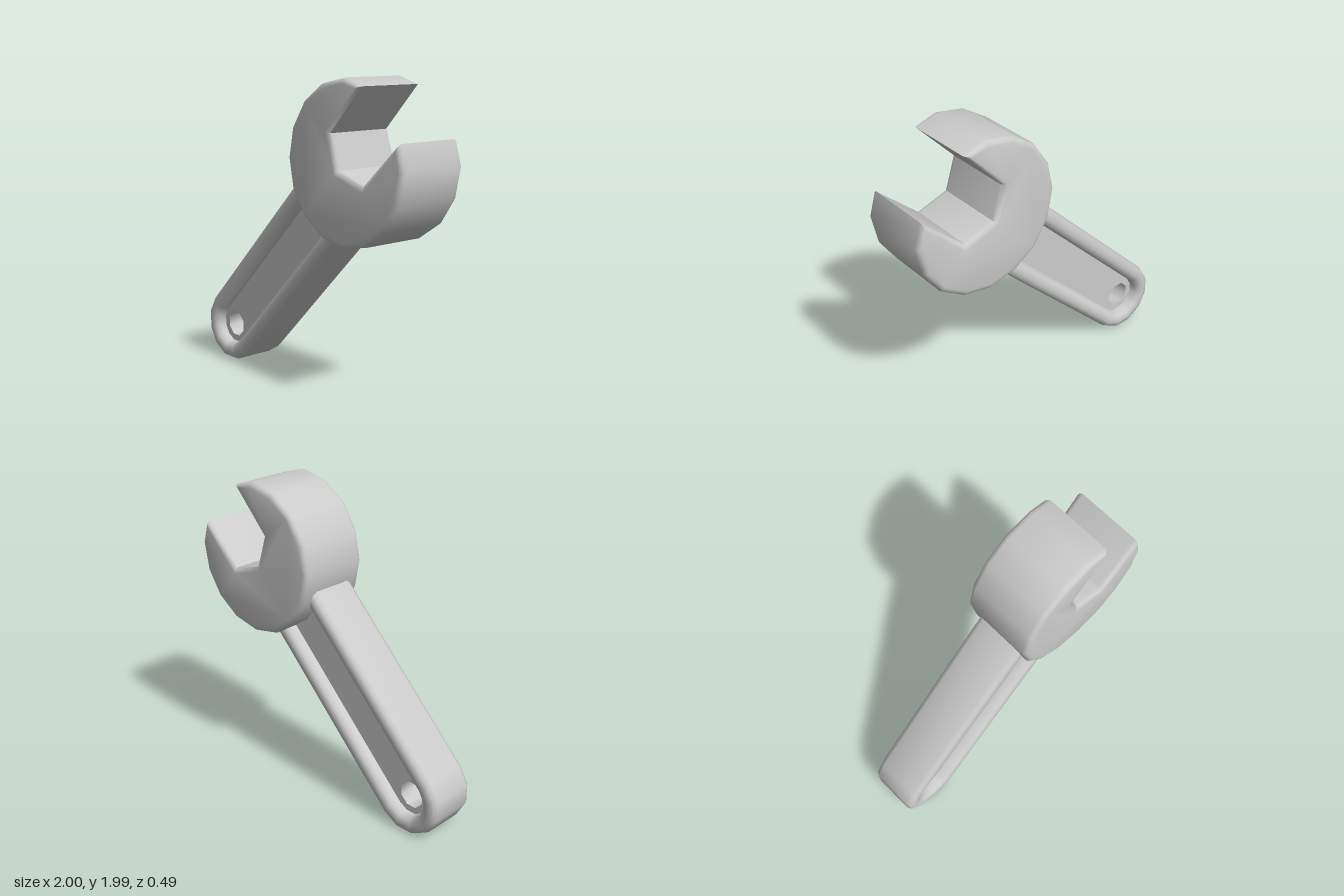
import * as THREE from 'three';
import { mergeVertices, toCreasedNormals } from 'three/addons/utils/BufferGeometryUtils.js';

const HANDLE_END = 1.53; // handle length, running into the head

function mesh(name, geometry, crease = 0.9) {
  geometry.deleteAttribute('uv');
  geometry.deleteAttribute('normal');
  const smooth = toCreasedNormals(mergeVertices(geometry, 1e-4), crease);
  const m = new THREE.Mesh(smooth, new THREE.MeshStandardMaterial({ color: 0xcccccc }));
  m.name = name;
  return m;
}

// U-shaped handle outline at distance r from its centre line
function handleOutline(r) {
  const pts = [new THREE.Vector2(HANDLE_END, r)];
  for (let k = 0; k <= 6; k++) {
    const a = Math.PI / 2 + k * Math.PI / 6;
    pts.push(new THREE.Vector2(r * Math.cos(a), r * Math.sin(a)));
  }
  pts.push(new THREE.Vector2(HANDLE_END, -r));
  return pts;
}

// Rounded rim: a cross-section of [distance, z] swept along the outline
function rimGeometry() {
  const half = [[0.13, 0.1], [0.134, 0.135], [0.15, 0.163], [0.175, 0.174],
    [0.205, 0.174], [0.231, 0.163], [0.245, 0.135]];
  const section = [...half, ...half.map(([r, z]) => [r, -z]).reverse()];
  const n = handleOutline(1).length;
  const position = [], index = [];
  section.forEach(([r, z], i) => {
    handleOutline(r).forEach((p, j) => {
      position.push(p.x, p.y, z);
      if (i < section.length - 1 && j < n - 1) {
        const a = i * n + j, b = a + n;
        index.push(a, b, a + 1, b, b + 1, a + 1);
      }
    });
  });
  const g = new THREE.BufferGeometry();
  g.setAttribute('position', new THREE.Float32BufferAttribute(position, 3));
  g.setIndex(index);
  return g;
}

// Recessed web with an octagonal hanging hole
function webGeometry() {
  const shape = new THREE.Shape(handleOutline(0.132));
  const hole = [];
  for (let k = 0; k < 8; k++) {
    const a = (k + 0.5) * Math.PI / 4;
    hole.push(new THREE.Vector2(0.089 * Math.cos(a), 0.089 * Math.sin(a)));
  }
  shape.holes.push(new THREE.Path(hole));
  const g = new THREE.ExtrudeGeometry(shape, { depth: 0.2, bevelEnabled: false });
  return g.translate(0, 0, -0.1);
}

// Sixteen-sided head with an open jaw, bevelled front and back
function headGeometry() {
  const pts = [];
  for (let k = 4; k <= 16; k++) {
    const a = k * Math.PI / 8;
    pts.push(new THREE.Vector2(0.5 * Math.cos(a), 0.5 * Math.sin(a)));
  }
  const jaw = [[0.45, 0.155], [0.17, -0.105], [-0.04, -0.04], [-0.11, 0.175], [0.15, 0.455]];
  jaw.forEach(([x, y]) => pts.push(new THREE.Vector2(x, y)));
  const bevel = 0.035;
  const g = new THREE.ExtrudeGeometry(new THREE.Shape(pts), {
    depth: 0.49 - 2 * bevel, bevelThickness: bevel, bevelSize: bevel,
    bevelOffset: -bevel, bevelSegments: 3,
  });
  return g.translate(0, 0, bevel - 0.245);
}

export function createModel() {
  const model = new THREE.Group();
  model.name = 'wrench';

  const handle = new THREE.Group();
  handle.name = 'handle';
  handle.add(mesh('handleRim', rimGeometry()), mesh('handleWeb', webGeometry()));
  handle.rotation.z = Math.PI / 4;
  handle.position.set(-0.763, 0.24, 0);

  const head = mesh('openJawHead', headGeometry());
  head.position.set(0.5, 1.497, 0);

  model.add(handle, head);
  return model;
}
